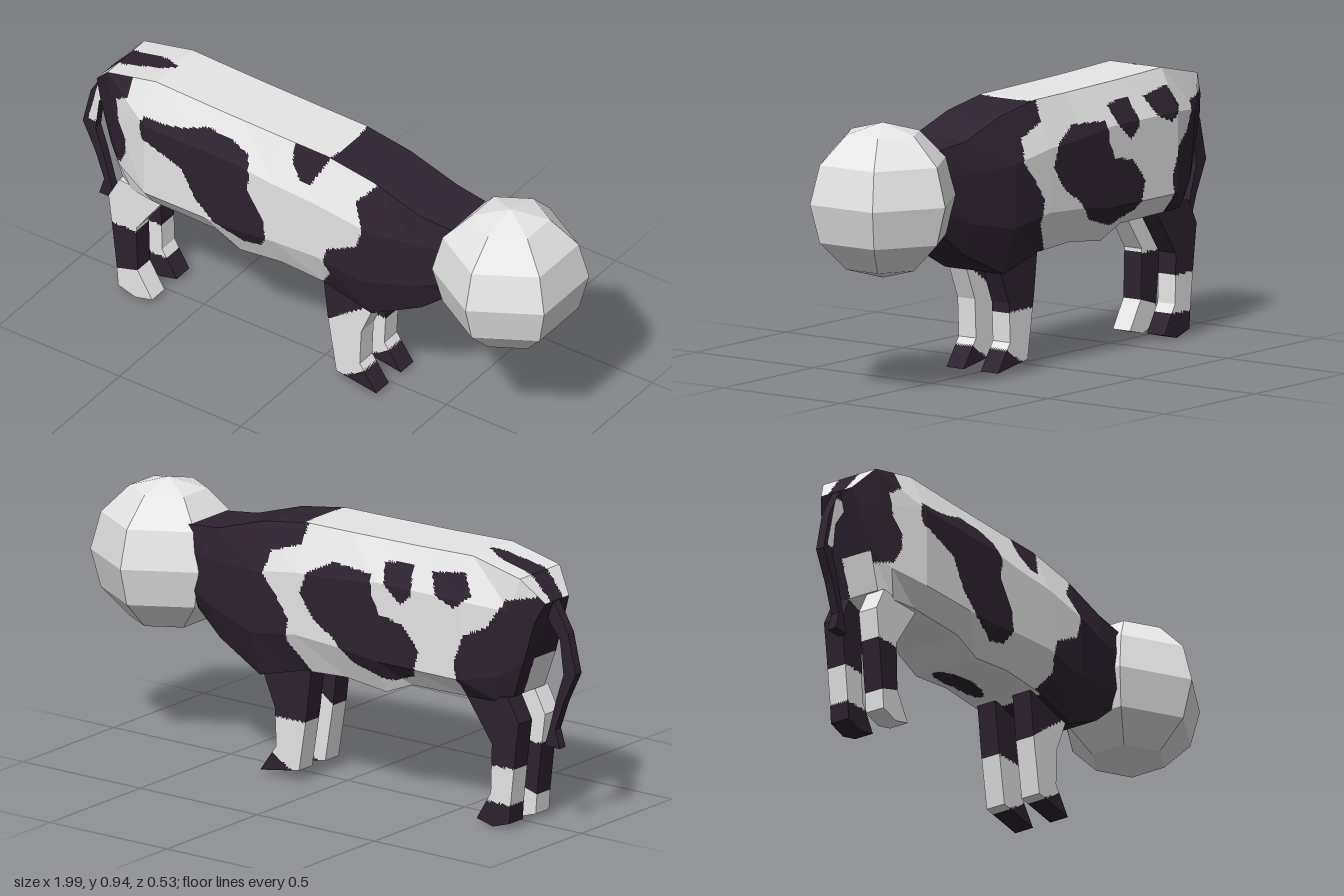
import * as THREE from 'three';

const white = new THREE.MeshStandardMaterial({ color: 0xe6e6e6 });
white.name = 'white hide';
const dark = new THREE.MeshStandardMaterial({ color: 0x2e2230 });
dark.name = 'dark hide';

// Point-in-polygon test for the hide patches
function inside(poly, u, v) {
  let hit = false;
  for (let i = 0, j = poly.length - 1; i < poly.length; j = i++) {
    const [ax, ay] = poly[i], [bx, by] = poly[j];
    if ((ay > v) !== (by > v) && u < ((bx - ax) * (v - ay)) / (by - ay) + ax) hit = !hit;
  }
  return hit;
}

// Splits flat faces into small cells and sorts them into white and dark groups
function paint(name, source, isDark) {
  const pos = (source.index ? source.toNonIndexed() : source).attributes.position;
  const cells = [[], []];
  const tri = new THREE.Triangle(), n = new THREE.Vector3(), mid = new THREE.Vector3();
  for (let i = 0; i < pos.count; i += 3) {
    tri.setFromAttributeAndIndices(pos, i, i + 1, i + 2);
    if (tri.getArea() < 1e-8) continue;
    tri.getNormal(n);
    const { a, b, c } = tri;
    const steps = Math.ceil(Math.max(a.distanceTo(b), b.distanceTo(c), c.distanceTo(a)) / 0.014);
    const at = (r, s) => a.clone().addScaledVector(b.clone().sub(a), r / steps)
      .addScaledVector(c.clone().sub(a), s / steps);
    const emit = (p, q, r) => {
      mid.copy(p).add(q).add(r).divideScalar(3);
      cells[isDark(mid, n) ? 1 : 0].push(...p, ...q, ...r);
    };
    for (let r = 0; r < steps; r++) {
      for (let s = 0; s < steps - r; s++) {
        emit(at(r, s), at(r + 1, s), at(r, s + 1));
        if (r + s < steps - 1) emit(at(r + 1, s), at(r + 1, s + 1), at(r, s + 1));
      }
    }
  }
  const g = new THREE.BufferGeometry();
  g.setAttribute('position', new THREE.Float32BufferAttribute(cells[0].concat(cells[1]), 3));
  g.addGroup(0, cells[0].length / 3, 0);
  g.addGroup(cells[0].length / 3, cells[1].length / 3, 1);
  g.computeVertexNormals();
  const mesh = new THREE.Mesh(g, [white, dark]);
  mesh.name = name;
  return mesh;
}

// Side profile extruded across z
function slab(profile, depth, z) {
  const shape = new THREE.Shape(profile.map(([x, y]) => new THREE.Vector2(x, y)));
  return new THREE.ExtrudeGeometry(shape, { depth, bevelEnabled: false }).translate(0, 0, z);
}

// Body cross-section: four levels of [x, y, half width], top to belly
const level = (x, top, upper, lower, belly, w, wt = 0.11, wb = 0.125) =>
  [[x, top, wt], [x, upper, w], [x, lower, w], [x, belly, wb]];
const sections = [
  [[-0.905, 0.815, 0.065], [-0.875, 0.75, 0.085], [-0.83, 0.6, 0.09], [-0.785, 0.47, 0.085]],
  [[-0.83, 0.9, 0.11], [-0.8, 0.78, 0.125], [-0.765, 0.55, 0.13], [-0.73, 0.45, 0.11]],
  level(-0.63, 0.945, 0.8, 0.52, 0.45, 0.18),
  level(-0.38, 0.937, 0.8, 0.52, 0.445, 0.18),
  level(-0.27, 0.935, 0.8, 0.52, 0.4, 0.18),
  level(-0.1, 0.932, 0.78, 0.54, 0.42, 0.18),
  level(0.08, 0.93, 0.77, 0.55, 0.41, 0.18),
  level(0.27, 0.9, 0.74, 0.52, 0.36, 0.175),
  level(0.46, 0.84, 0.73, 0.56, 0.45, 0.135, 0.11, 0.1),
  level(0.6, 0.825, 0.74, 0.62, 0.56, 0.11, 0.1, 0.08),
];

function bodyGeometry() {
  const rings = sections.map((s) => [
    ...s.map(([x, y, w]) => [x, y, w]),
    ...s.map(([x, y, w]) => [x, y, -w]).reverse(),
  ]);
  const out = [];
  for (let i = 0; i < rings.length - 1; i++) {
    for (let j = 0; j < 8; j++) {
      const k = (j + 1) % 8, A = rings[i], B = rings[i + 1];
      out.push(...A[j], ...A[k], ...B[k], ...A[j], ...B[k], ...B[j]);
    }
  }
  const rear = rings[0], neck = rings[rings.length - 1];
  for (let j = 1; j < 7; j++) {
    out.push(...rear[0], ...rear[j + 1], ...rear[j]);
    out.push(...neck[0], ...neck[j], ...neck[j + 1]);
  }
  const g = new THREE.BufferGeometry();
  g.setAttribute('position', new THREE.Float32BufferAttribute(out, 3));
  return g;
}

// Hide patches on the left flank (x, y)
const leftPatches = [
  [[-0.655, 0.8], [-0.64, 0.83], [-0.55, 0.83], [-0.47, 0.845], [-0.39, 0.875], [-0.285, 0.865],
    [-0.215, 0.84], [-0.195, 0.775], [-0.205, 0.71], [-0.14, 0.615], [-0.13, 0.535], [-0.16, 0.485],
    [-0.235, 0.47], [-0.34, 0.515], [-0.42, 0.585], [-0.475, 0.685], [-0.555, 0.715], [-0.645, 0.745]],
  [[-0.06, 0.96], [-0.045, 0.87], [0, 0.82], [0.04, 0.82], [0.07, 0.88], [0.11, 0.96]],
  [[0.285, 0.95], [0.285, 0.89], [0.22, 0.82], [0.265, 0.74], [0.245, 0.66], [0.125, 0.6],
    [0.105, 0.54], [0.125, 0.485], [0.06, 0.4], [0.06, 0.3], [0.7, 0.3], [0.7, 0.95]],
  [[-0.84, 0.93], [-0.725, 0.92], [-0.725, 0.86], [-0.78, 0.82], [-0.765, 0.74], [-0.73, 0.685],
    [-0.73, 0.62], [-0.76, 0.57], [-0.82, 0.56], [-0.95, 0.6], [-0.95, 0.9]],
];
// Hide patches on the right flank (x, y)
const rightPatches = [
  [[-0.24, 0.82], [-0.07, 0.83], [0.03, 0.78], [0.06, 0.7], [0, 0.62], [-0.08, 0.57], [-0.16, 0.49],
    [-0.3, 0.45], [-0.42, 0.49], [-0.45, 0.59], [-0.38, 0.67], [-0.28, 0.69], [-0.25, 0.75]],
  [[-0.4, 0.88], [-0.28, 0.87], [-0.3, 0.8], [-0.37, 0.74], [-0.42, 0.78]],
  [[-0.62, 0.89], [-0.48, 0.87], [-0.52, 0.8], [-0.6, 0.77], [-0.66, 0.82]],
  [[0.07, 0.96], [0.08, 0.86], [0.2, 0.82], [0.22, 0.74], [0.16, 0.67], [0.11, 0.6], [0.12, 0.52],
    [0.04, 0.4], [0.04, 0.3], [0.7, 0.3], [0.7, 0.96]],
  [[-0.95, 0.85], [-0.78, 0.82], [-0.72, 0.72], [-0.64, 0.68], [-0.6, 0.58], [-0.63, 0.4],
    [-0.95, 0.4]],
];
// Stripe running from the tail along the back (x, z)
const backStripe = [[-0.95, -0.03], [-0.83, -0.045], [-0.68, -0.035], [-0.61, 0],
  [-0.66, 0.025], [-0.8, 0.045], [-0.95, 0.03]];

function bodyPattern(p, n) {
  if (n.y > 0.6) return p.x > 0.1 - 0.08 * Math.abs(p.z) || inside(backStripe, p.x, p.z);
  if (n.y < -0.75) {
    return p.x > 0.1 || Math.hypot((p.x + 0.12) / 0.14, (p.z + 0.06) / 0.04) < 1;
  }
  if (n.x < -0.8) return p.y > 0.6 || p.z < -0.03;
  return (p.z > 0 ? leftPatches : rightPatches).some((s) => inside(s, p.x, p.y));
}

// Leg profiles (x, y)
const foreLeg = [[0.06, 0.43], [0.08, 0.26], [0.115, 0.045], [0.28, 0.018], [0.212, 0.115],
  [0.218, 0.25], [0.275, 0.385], [0.265, 0.48]];
const hindLeg = [[-0.78, 0.47], [-0.825, 0.385], [-0.81, 0.27], [-0.79, 0.095], [-0.785, 0.025],
  [-0.715, 0.003], [-0.645, 0.02], [-0.705, 0.12], [-0.71, 0.295], [-0.6, 0.45]];
const tailProfile = [[-0.9, 0.82], [-0.965, 0.71], [-0.998, 0.57], [-0.945, 0.46], [-0.91, 0.36],
  [-0.93, 0.295], [-0.865, 0.295], [-0.885, 0.36], [-0.915, 0.47], [-0.945, 0.56], [-0.93, 0.68],
  [-0.87, 0.76]];

export function createModel() {
  const model = new THREE.Group();
  model.name = 'cow';

  // Torso, legs and tail share a centre plane slightly off the head's
  const animal = new THREE.Group();
  animal.name = 'torsoAndLimbs';
  animal.position.z = -0.01;
  model.add(animal);
  animal.add(paint('body', bodyGeometry(), bodyPattern));

  for (const [side, z] of [['Left', 0.036], ['Right', -0.11]]) {
    const left = side === 'Left';
    animal.add(paint('front' + side + 'Leg', slab(foreLeg, 0.074, z), (p) =>
      p.y > (left ? 0.25 + 0.7 * (p.x - 0.08) : 0.22) || (p.y < 0.12 && p.y < 0.6 * (p.x - 0.08))));
    animal.add(paint('hind' + side + 'Leg', slab(hindLeg, 0.074, z), (p) => (left
      ? p.y < 0.28 && p.y > 0.1 + 0.25 * (p.x + 0.78)
      : p.y > 0.22 || p.y < 0.09)));
  }

  // Tail with a pale inner streak
  animal.add(paint('tail', slab(tailProfile, 0.032, -0.018), (p, n) =>
    !(n.z > 0.5 && p.y > 0.59 && p.y < 0.78 && p.x > -0.975 + 0.25 * (p.y - 0.59))));

  // Faceted ball head
  const ball = new THREE.SphereGeometry(0.267, 6, 6).rotateY(Math.PI / 2).toNonIndexed();
  ball.computeVertexNormals();
  const head = new THREE.Mesh(ball, white);
  head.name = 'head';
  head.position.set(0.765, 0.67, 0);
  model.add(head);
  return model;
}
